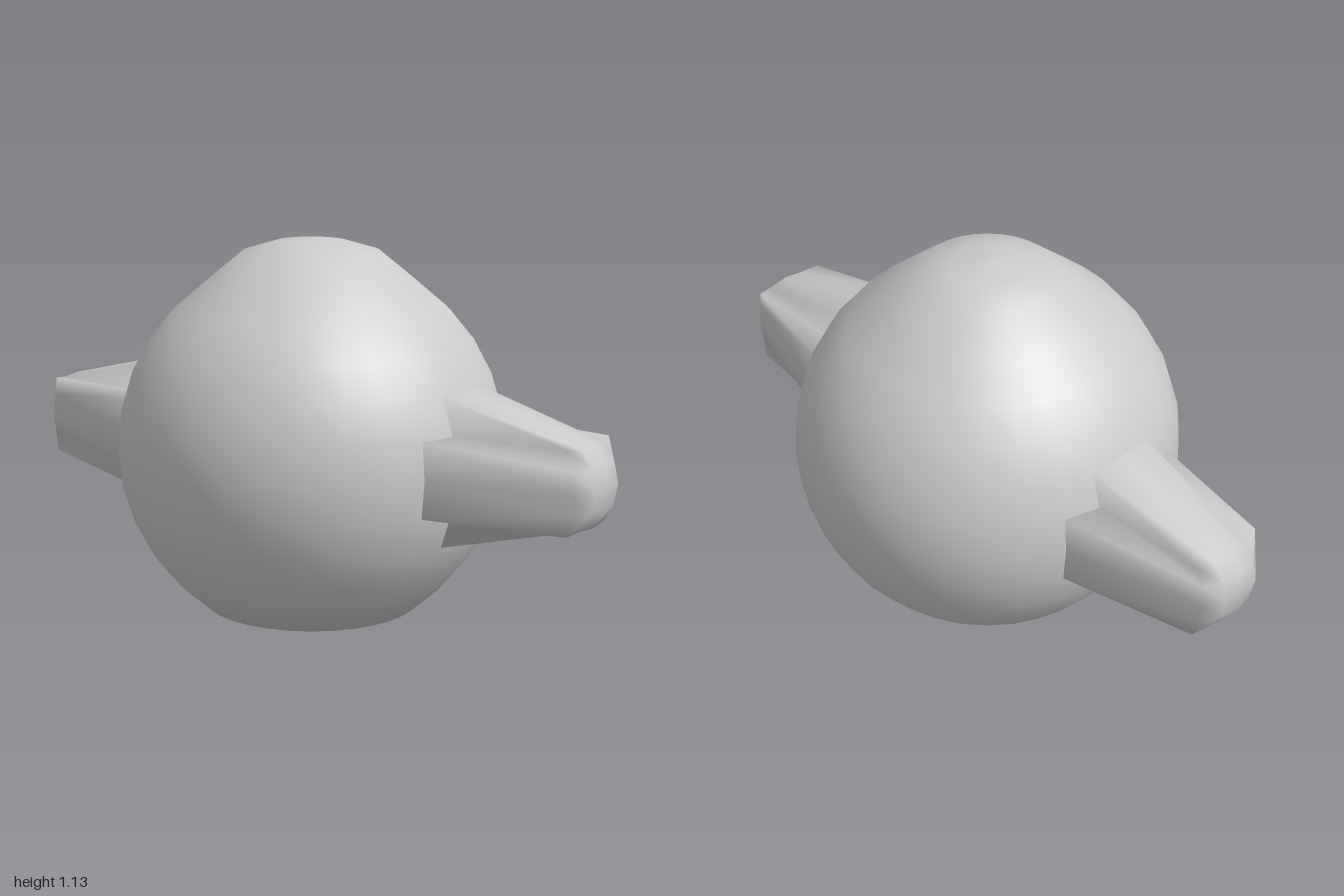
import * as THREE from 'three';
import { mergeVertices } from 'three/addons/utils/BufferGeometryUtils.js';

const R = 0.59, CY = 0.495;

// Repeats one quarter of a cross-section (3 points) four times around z.
function ring(quarter) {
  const out = [];
  for (let k = 0; k < 4; k++) {
    const c = [1, 0, -1, 0][k], s = [0, 1, 0, -1][k];
    for (const [x, y, z] of quarter) out.push([x * c - y * s, x * s + y * c, z]);
  }
  return out;
}

// Tapered arm with notched corners: plus-shaped root, square tip, small end cap.
function armGeometry() {
  const onBall = (x, y) => [x, y, Math.sqrt(R * R - x * x - y * y) - 0.003];
  const rings = [
    ring([onBall(0.224, 0), onBall(0.22, 0.112), onBall(0.112, 0.112)].concat([onBall(0.112, 0.22)])),
    ring([[0.12, 0, 0.96], [0.115, 0.065, 0.955], [0.122, 0.122, 0.94], [0.065, 0.115, 0.955]]),
    ring([[0.068, 0, 1], [0.062, 0.06, 0.99], [0.062, 0.062, 0.99], [0.06, 0.062, 0.99]]),
  ];
  const n = rings[0].length;
  const index = [];
  for (let r = 0; r < rings.length - 1; r++) {
    for (let i = 0; i < n; i++) {
      const j = (i + 1) % n;
      const a = r * n + i, b = r * n + j, c = b + n, d = a + n;
      index.push(a, b, c, a, c, d);
    }
  }
  const last = (rings.length - 1) * n, centre = rings.length * n;
  for (let i = 0; i < n; i++) index.push(last + i, last + (i + 1) % n, centre);

  let geo = new THREE.BufferGeometry();
  const points = [...rings.flat(), [0, 0, 1]];
  geo.setAttribute('position', new THREE.Float32BufferAttribute(points.flat(), 3));
  geo.setIndex(index);
  geo = mergeVertices(geo, 0.004);
  geo.computeVertexNormals();
  return geo;
}

export function createModel() {
  const model = new THREE.Group();
  const material = new THREE.MeshStandardMaterial({ color: 0xcccccc, side: THREE.DoubleSide });

  // Round body with a flattened, slightly dished base and a raised crown
  const profile = [[0, 0.02], [0.115, 0.017], [0.22, 0.01], [0.33, 0]];
  for (let k = -4; k <= 4; k++) {
    const a = k * Math.PI / 16;
    profile.push([R * Math.cos(a), CY + R * Math.sin(a)]);
  }
  profile.push([0.32, 0.995], [0.207, 1.088], [0.105, 1.118], [0, 1.128]);
  const body = new THREE.Mesh(
    new THREE.LatheGeometry(profile.map(([x, y]) => new THREE.Vector2(x, y)), 32), material);
  body.name = 'body';
  model.add(body);

  // Front and back arms
  const geo = armGeometry();
  ['frontArm', 'backArm'].forEach((name, i) => {
    const arm = new THREE.Mesh(geo, material);
    arm.name = name;
    arm.position.y = CY;
    arm.rotation.y = i * Math.PI;
    model.add(arm);
  });
  return model;
}
